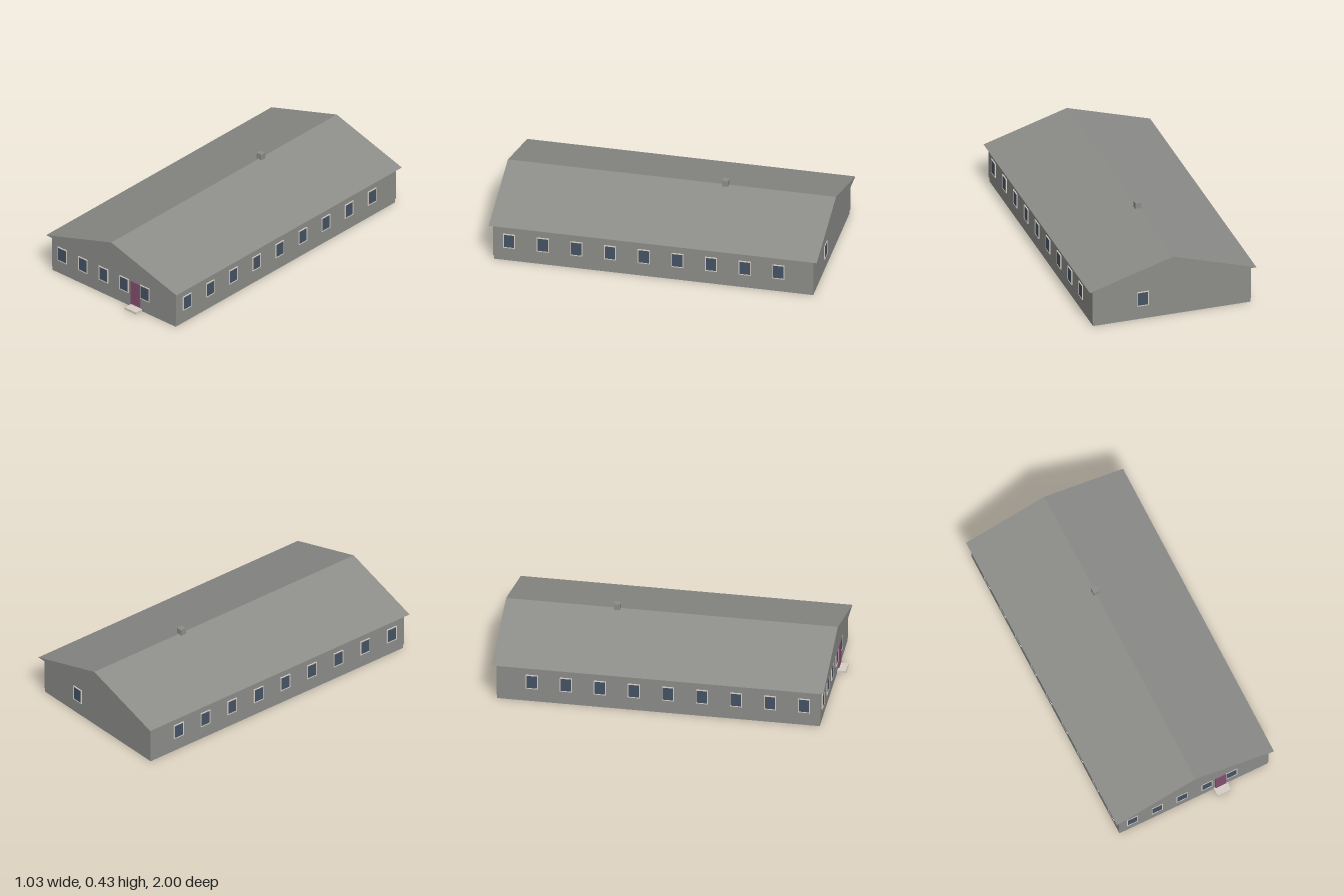
import * as THREE from 'three';

const mat = (name, hex) => {
  const m = new THREE.MeshStandardMaterial({ color: hex });
  m.name = name;
  return m;
};

export function createModel() {
  const grey = mat('grey render', 0x8c8c89);
  const cream = mat('cream trim', 0xd6cec5);
  const glass = mat('blue glass', 0x455364);
  const plum = mat('plum door', 0x824f6e);

  const house = new THREE.Group();
  house.name = 'longHouse';

  // Box given by its minimum and maximum corners
  const box = (name, material, [x0, y0, z0], [x1, y1, z1]) => {
    const mesh = new THREE.Mesh(new THREE.BoxGeometry(x1 - x0, y1 - y0, z1 - z0), material);
    mesh.position.set((x0 + x1) / 2, (y0 + y1) / 2, (z0 + z1) / 2);
    mesh.name = name;
    house.add(mesh);
  };

  const wallX = 0.49, front = 0.951, back = -0.976, eaves = 0.237;

  // Plinth and walls
  box('plinth', grey, [-0.486, 0, back + 0.004], [0.486, 0.027, front - 0.004]);
  box('walls', grey, [-wallX, 0.027, back], [wallX, eaves, front]);

  // Solid gable roof, overhanging on every side
  const gable = new THREE.Shape();
  gable.moveTo(-0.515, eaves);
  gable.lineTo(0.515, eaves);
  gable.lineTo(0, 0.393);
  gable.closePath();
  const roof = new THREE.Mesh(
    new THREE.ExtrudeGeometry(gable, { depth: 1.973, bevelEnabled: false }), grey);
  roof.position.z = -1;
  roof.name = 'roof';
  house.add(roof);

  // Chimney on the ridge
  box('chimney', grey, [-0.018, 0.37, -0.355], [0.018, 0.426, -0.319]);

  // Front door and step
  box('door', plum, [0.14, 0.027, front - 0.002], [0.211, 0.178, front + 0.007]);
  box('doorStep', cream, [0.131, 0, front - 0.01], [0.221, 0.014, 1]);

  // Window: a raised frame around a pane, facing +z before turning
  const w = 0.072, h = 0.093, t = 0.005;
  const rect = (path, a, b) => {
    path.moveTo(-a, -b);
    path.lineTo(a, -b);
    path.lineTo(a, b);
    path.lineTo(-a, b);
    path.closePath();
    return path;
  };
  const outline = rect(new THREE.Shape(), w / 2, h / 2);
  outline.holes.push(rect(new THREE.Path(), w / 2 - t, h / 2 - t));
  const frameGeo = new THREE.ExtrudeGeometry(outline, { depth: 0.006, bevelEnabled: false });
  const paneGeo = new THREE.BoxGeometry(w - 2 * t, h - 2 * t, 0.004);
  const addWindow = (name, x, z, turn) => {
    const win = new THREE.Group();
    win.name = name;
    const frame = new THREE.Mesh(frameGeo, cream);
    frame.name = 'windowFrame';
    const pane = new THREE.Mesh(paneGeo, glass);
    pane.name = 'windowPane';
    pane.position.z = 0.002;
    win.add(frame, pane);
    win.position.set(x, 0.134, z);
    win.rotation.y = turn;
    house.add(win);
  };

  // Five windows in front, one behind, nine along each side
  for (let i = 0; i < 5; i++) addWindow('frontWindow', -0.405 + i * 0.163, front, 0);
  addWindow('backWindow', 0.18, back, Math.PI);
  for (let i = 0; i < 9; i++) {
    const z = 0.855 - i * 0.2024;
    addWindow('leftWindow', wallX, z, Math.PI / 2);
    addWindow('rightWindow', -wallX, z, -Math.PI / 2);
  }

  return house;
}
